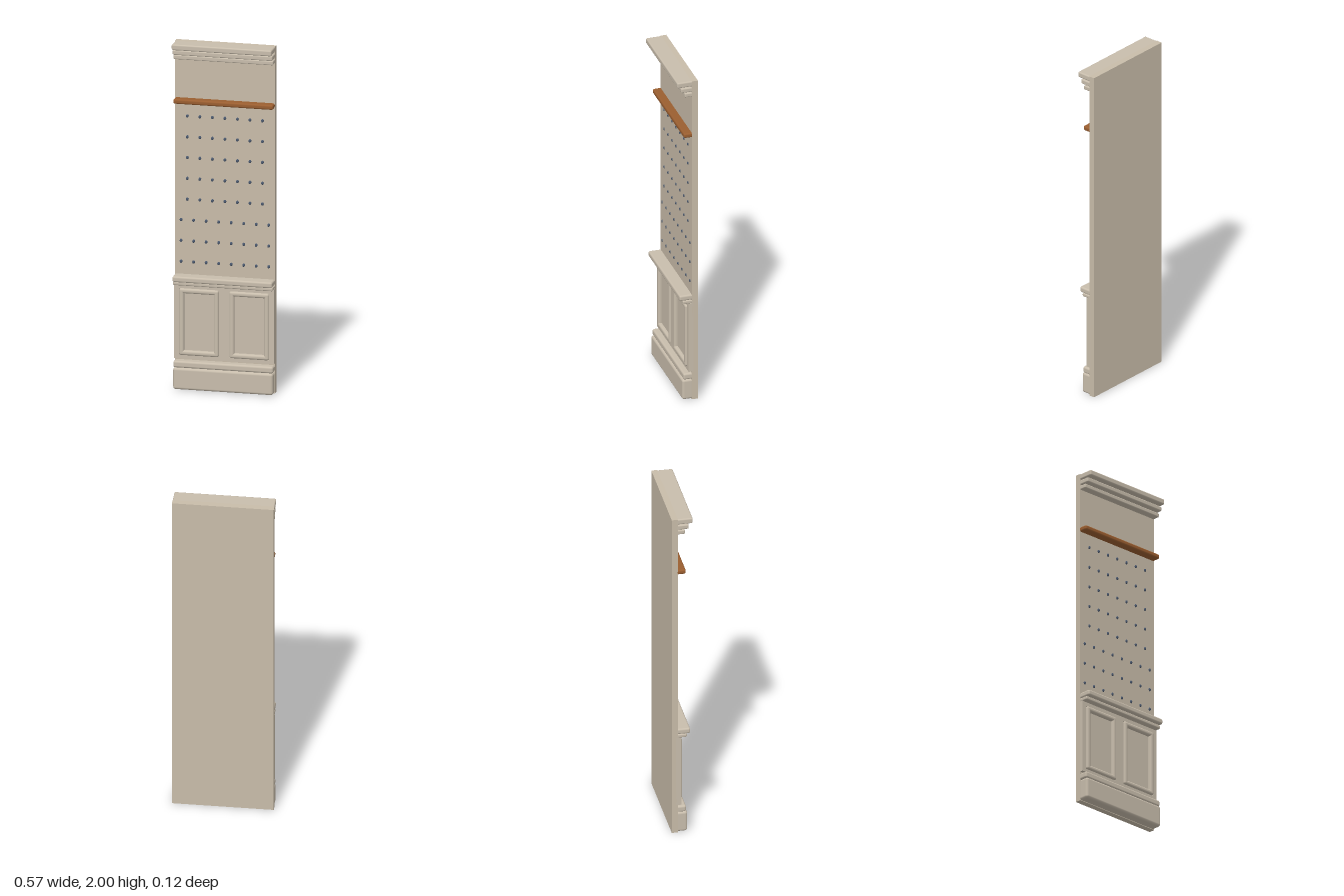
import * as THREE from 'three';
import { RoundedBoxGeometry } from 'three/addons/geometries/RoundedBoxGeometry.js';

const WIDTH = 0.57, WALL_FRONT = -0.025;

function material(name, color) {
  const m = new THREE.MeshStandardMaterial({ color });
  m.name = name;
  return m;
}

export function createModel() {
  const model = new THREE.Group();
  model.name = 'panelledWall';
  const plaster = material('warm plaster', 0xc8bca9);
  const trim = material('painted trim', 0xc8bdac);
  const wood = material('brown wood', 0x9a5e30);
  const slate = material('slate blue', 0x4c5a70);

  // Box given by its limits, with rounded edges when r > 0
  function block(name, mat, [x0, x1], [y0, y1], [z0, z1], r = 0, parent = model) {
    const w = x1 - x0, h = y1 - y0, d = z1 - z0;
    const geo = r ? new RoundedBoxGeometry(w, h, d, 3, r) : new THREE.BoxGeometry(w, h, d);
    const mesh = new THREE.Mesh(geo, mat);
    mesh.name = name;
    mesh.position.set((x0 + x1) / 2, (y0 + y1) / 2, (z0 + z1) / 2);
    parent.add(mesh);
    return mesh;
  }
  const full = [-WIDTH / 2, WIDTH / 2];

  // Wall slab
  block('wall', plaster, full, [0, 2], [-0.06, WALL_FRONT]);

  // Full-width mouldings: name, material, bottom, top, front depth, rounding
  const rails = [
    ['crownTop', trim, 1.967, 2.0, 0.06, 0.008],
    ['crownMiddle', trim, 1.934, 1.962, 0.037, 0.007],
    ['crownBottom', trim, 1.904, 1.929, 0.016, 0.006],
    ['pictureRail', wood, 1.647, 1.675, 0.021, 0.010],
    ['chairRail', trim, 0.625, 0.658, 0.046, 0.010],
    ['chairRailCove', trim, 0.603, 0.625, 0.027, 0.007],
    ['baseCap', trim, 0.127, 0.165, 0.023, 0.011],
    ['baseboard', trim, 0.003, 0.127, 0.03, 0.014],
  ];
  for (const [name, mat, y0, y1, z, r] of rails) {
    block(name, mat, full, [y0, y1], [WALL_FRONT - 0.012, z], r);
  }

  // Wainscot: stiles and rails around two recessed fields
  const zFrame = [WALL_FRONT - 0.01, -0.006];
  const inner = 0.03, outer = 0.257, low = 0.195, high = 0.58;
  block('wainscotBottomRail', trim, full, [0.175, low], zFrame);
  block('wainscotTopRail', trim, full, [high, 0.605], zFrame);
  block('wainscotMiddleStile', trim, [-inner, inner], [low, high], zFrame);
  for (const [side, a, b] of [['left', inner, outer], ['right', -outer, -inner]]) {
    const edge = side === 'left' ? [b, full[1]] : [full[0], a];
    block(side + 'OuterStile', trim, edge, [low, high], zFrame);
    block(side + 'PanelField', trim, [a, b], [low, high], [WALL_FRONT - 0.01, -0.015]);

    // Raised moulding round the field
    const frame = new THREE.Group();
    frame.name = side + 'PanelMoulding';
    model.add(frame);
    const z = [-0.028, 0.005], t = 0.028;
    block('mouldingBottom', trim, [a, b], [low, low + t], z, 0.012, frame);
    block('mouldingTop', trim, [a, b], [high - t, high], z, 0.012, frame);
    block('mouldingInner', trim, [a, a + t], [low, high], z, 0.012, frame);
    block('mouldingOuter', trim, [b - t, b], [low, high], z, 0.012, frame);
  }

  // Staggered dots: five rows of seven above three rows of eight
  const dots = new THREE.Group();
  dots.name = 'wallDots';
  model.add(dots);
  const dotGeo = new THREE.SphereGeometry(1, 10, 6);
  for (let row = 0; row < 8; row++) {
    const count = row < 5 ? 7 : 8;
    for (let i = 0; i < count; i++) {
      const dot = new THREE.Mesh(dotGeo, slate);
      dot.name = 'dot';
      dot.scale.set(0.008, 0.01, 0.005);
      dot.rotation.z = -0.3;
      dot.position.set((i - (count - 1) / 2) * 0.0715, 1.57 - row * 0.12, WALL_FRONT);
      dots.add(dot);
    }
  }
  return model;
}
